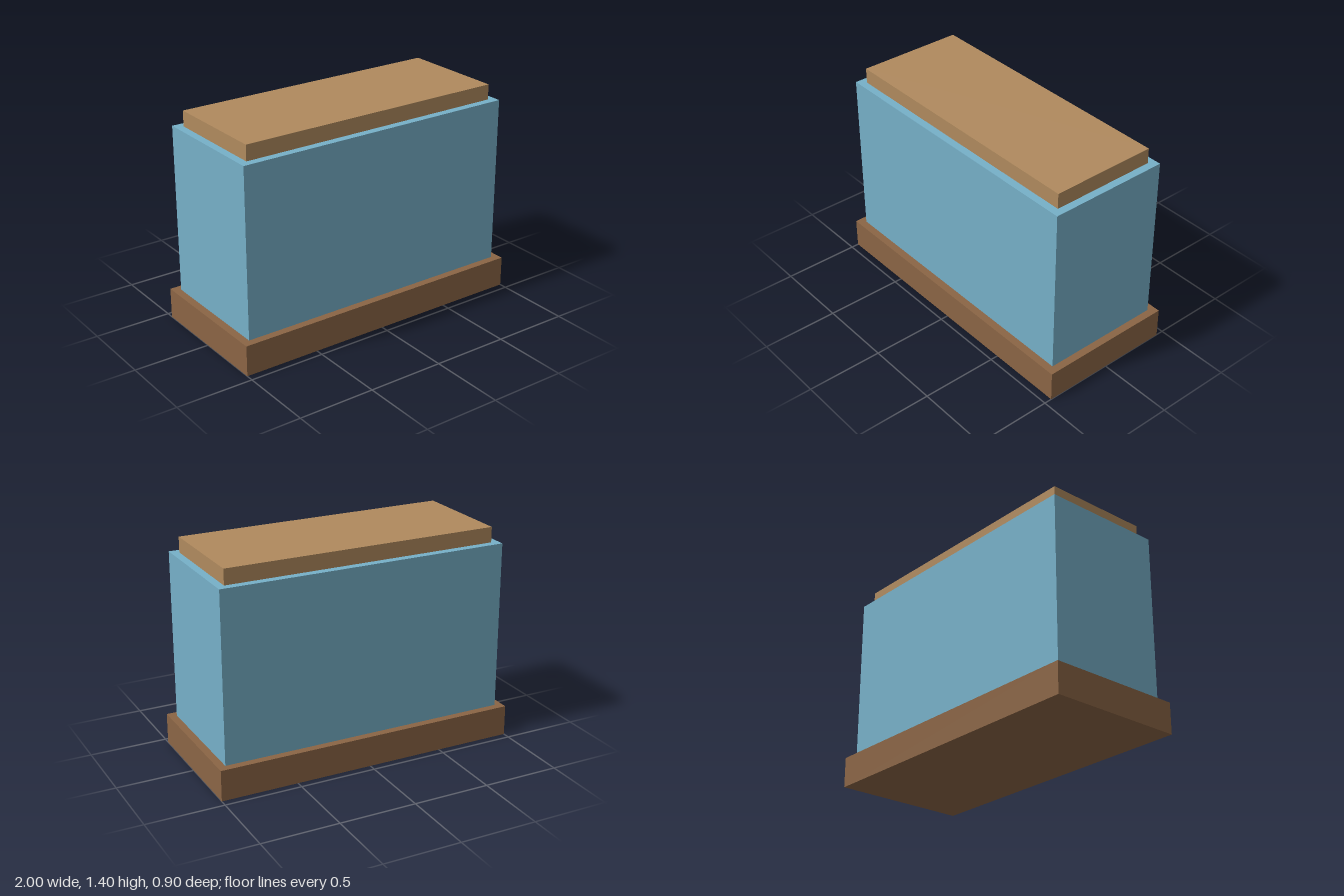
import * as THREE from 'three';

// Box standing on height y, centred on x and z
function block(name, width, height, depth, y, color) {
  const mesh = new THREE.Mesh(
    new THREE.BoxGeometry(width, height, depth),
    new THREE.MeshStandardMaterial({ color })
  );
  mesh.name = name;
  mesh.position.y = y + height / 2;
  return mesh;
}

export function createModel() {
  const model = new THREE.Group();
  model.name = 'tank';
  model.add(
    block('base', 2, 0.2, 0.9, 0, 0x8b6545), // wooden plinth
    block('tankBody', 1.9, 1.1, 0.8, 0.2, 0x76b0c8), // blue body
    block('lid', 1.8, 0.1, 0.7, 1.3, 0xb08a5e) // wooden lid
  );
  return model;
}
